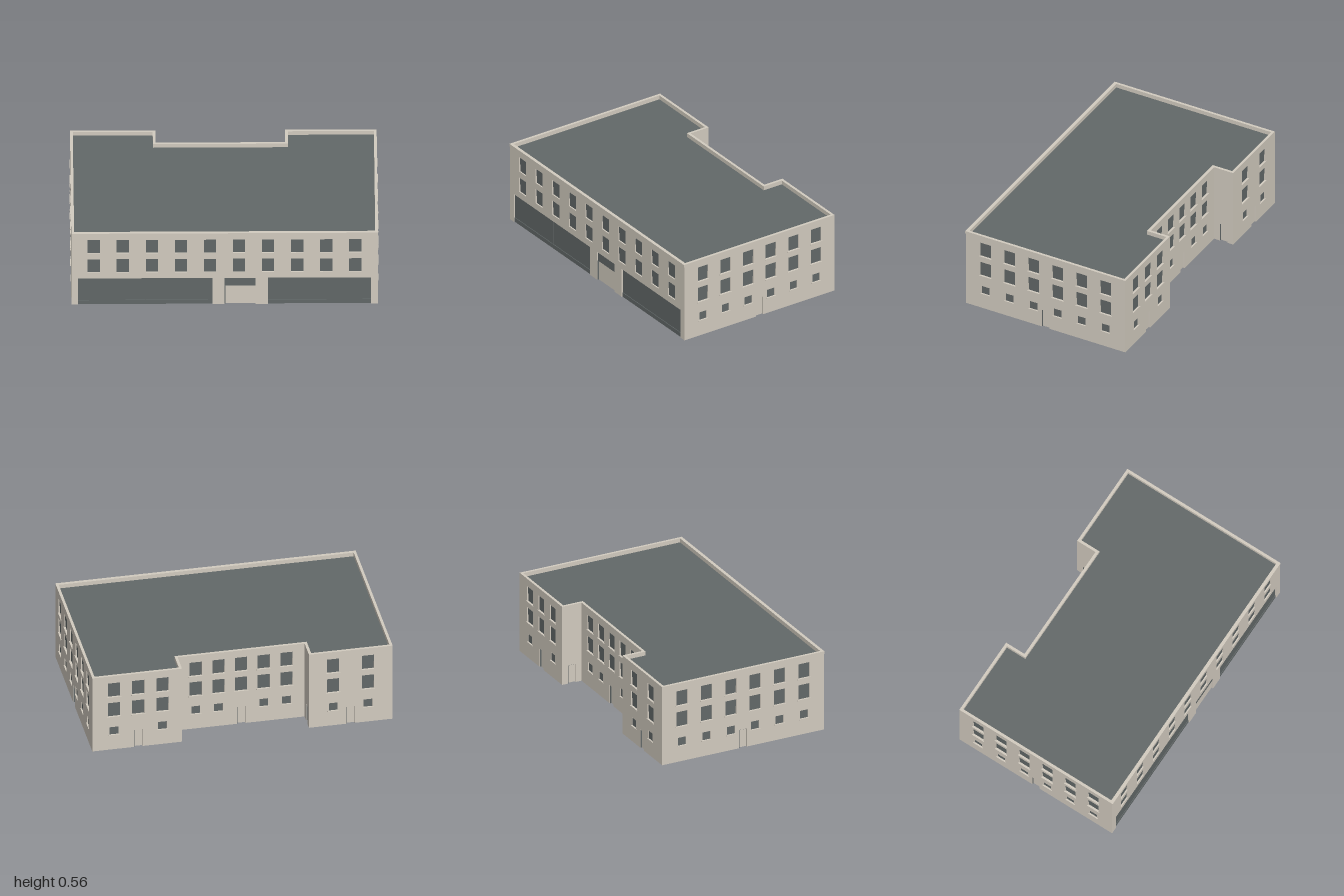
import * as THREE from 'three';

const stone = new THREE.MeshStandardMaterial({ color: 0xd2cbbf });
stone.name = 'stone';
const slate = new THREE.MeshStandardMaterial({ color: 0x626868 });
slate.name = 'slate';

const X = 0.994, Z = 0.592, H = 0.558;  // half width, half depth, height
const NL = 0.4, NR = -0.44, NZ = -0.45; // rear recess
const SKIN = 0.012, T = 0.018;          // outer layer, full wall thickness
const ROOF = 0.53;

function add(group, name, geometry, material, x = 0, y = 0, z = 0) {
  const mesh = new THREE.Mesh(geometry, material);
  mesh.name = name;
  mesh.position.set(x, y, z);
  group.add(mesh);
}

function box(group, name, material, u, y0, y1, w, z0, z1) {
  add(group, name, new THREE.BoxGeometry(w, y1 - y0, z1 - z0), material, u, (y0 + y1) / 2, (z0 + z1) / 2);
}

// wall outline, notched at the bottom for openings that reach the ground
function wallShape(u0, u1, notches, windows) {
  const s = new THREE.Shape();
  s.moveTo(u0, 0);
  for (const n of [...notches].sort((a, b) => a.u - b.u)) {
    s.lineTo(n.u - n.w / 2, 0);
    s.lineTo(n.u - n.w / 2, n.h);
    s.lineTo(n.u + n.w / 2, n.h);
    s.lineTo(n.u + n.w / 2, 0);
  }
  s.lineTo(u1, 0);
  s.lineTo(u1, H);
  s.lineTo(u0, H);
  for (const { u, w, y0, y1 } of windows) {
    const hole = new THREE.Path();
    hole.moveTo(u - w / 2, y0);
    hole.lineTo(u - w / 2, y1);
    hole.lineTo(u + w / 2, y1);
    hole.lineTo(u + w / 2, y0);
    hole.closePath();
    s.holes.push(hole);
  }
  return s;
}

const extrude = (shape, depth) => new THREE.ExtrudeGeometry(shape, { depth, bevelEnabled: false });

// one wall, running left to right as seen from outside, local +z outward
function makeWall({ name, from, to, doors = [], shops = [], windows = [], grow = [0, 0] }) {
  const g = new THREE.Group();
  g.name = name;
  const dx = to[0] - from[0], dz = to[1] - from[1];
  g.position.set(from[0], 0, from[1]);
  g.rotation.y = Math.atan2(-dz, dx);
  const u0 = -grow[0], u1 = Math.hypot(dx, dz) + grow[1];

  // recessed openings in the outer layer, closed by a plain inner layer
  add(g, 'outerWall', extrude(wallShape(u0, u1, [...doors, ...shops], windows), SKIN), stone, 0, 0, -SKIN);
  add(g, 'innerWall', extrude(wallShape(u0, u1, [], []), T - SKIN), stone, 0, 0, -T);

  // panes run slightly into the wall around them
  for (const { u, w, y0, y1, sash, sill } of windows) {
    const mid = (y0 + y1) / 2, lap = 0.002;
    box(g, 'upperPane', slate, u, mid, y1 + lap, w + 2 * lap, -SKIN, -0.006);
    box(g, 'lowerPane', slate, u, y0 - lap, mid, w + 2 * lap, -SKIN, sash ? -0.009 : -0.006);
    if (sill) box(g, 'windowSill', stone, u, y0 - 0.006, y0, w + 0.014, -0.004, 0.005);
  }

  // shop fronts with a low base panel and an optional mullion
  for (const { u, w, h, mullion } of shops) {
    box(g, 'shopWindow', slate, u, 0.03, h + 0.002, w + 0.004, -SKIN, -0.01);
    box(g, 'shopBase', slate, u, 0, 0.03, w + 0.004, -SKIN, -0.006);
    if (mullion) box(g, 'shopMullion', slate, u, 0.03, h, 0.006, -SKIN, -0.006);
  }

  // pale doorways with a dark header, and a dark leaf along the left jamb
  for (const { u, w, h, leaf } of doors) {
    box(g, 'doorLeaf', slate, u - w / 2 + 0.002, 0, leaf, 0.004, -T - w + 0.004, -0.004);
    box(g, 'doorHeader', slate, u, leaf, h + 0.002, w + 0.004, -SKIN, -0.006);
  }
  return g;
}

// two storeys of sash windows, and small ground-floor windows
const sashes = (centres, sill) => centres.flatMap(u => [[0.25, 0.355], [0.4, 0.505]].map(
  ([y0, y1]) => ({ u, w: 0.08, y0, y1, sash: true, sill })));
const smalls = centres => centres.map(u => ({ u, w: 0.058, y0: 0.112, y1: 0.17, sill: true }));
const sideDoor = u => ({ u, w: 0.056, h: 0.13, leaf: 0.126 });

export function createModel() {
  const building = new THREE.Group();
  building.name = 'building';

  const frontU = Array.from({ length: 10 }, (_, i) => X - 0.848 + i * 0.1882);
  const sideU = [-0.446, -0.268, -0.089, 0.089, 0.268, 0.446].map(v => v + Z);
  const wingL = [0.85, 0.69, 0.53].map(x => X - x);
  const wingR = [-0.6, -0.83].map(x => NR - x);
  const recess = [0.28, 0.13, -0.02, -0.17, -0.32].map(x => NL - x);
  const side = { windows: [...sashes(sideU, true), ...smalls(sideU)], doors: [sideDoor(Z)] };
  const half = (Z + NZ) / 2;

  const walls = [
    {
      name: 'frontWall', from: [-X, Z], to: [X, Z], windows: sashes(frontU, false),
      doors: [{ u: X + 0.1, w: 0.2, h: 0.205, leaf: 0.14 }],
      shops: [{ u: X - 0.515, w: 0.87, h: 0.205, mullion: true }, { u: X + 0.615, w: 0.67, h: 0.205 }],
    },
    { name: 'leftWall', from: [X, Z], to: [X, -Z], ...side },
    {
      name: 'leftWingRearWall', from: [X, -Z], to: [NL, -Z], doors: [sideDoor(wingL[1])],
      windows: [...sashes(wingL, true), ...smalls([wingL[0], wingL[2]])],
    },
    { name: 'leftRecessWall', from: [NL, -Z], to: [NL, NZ], doors: [sideDoor(half)], grow: [0, T] },
    {
      name: 'recessRearWall', from: [NL, NZ], to: [NR, NZ], doors: [sideDoor(recess[2])],
      windows: [...sashes(recess, true), ...smalls(recess.filter((_, i) => i !== 2))],
    },
    { name: 'rightRecessWall', from: [NR, NZ], to: [NR, -Z], doors: [sideDoor(half)], grow: [T, 0] },
    {
      name: 'rightWingRearWall', from: [NR, -Z], to: [-X, -Z], doors: [sideDoor(NR + 0.715)],
      windows: [...sashes(wingR, true), ...smalls(wingR)],
    },
    { name: 'rightWall', from: [-X, -Z], to: [-X, Z], ...side },
  ];
  walls.forEach(w => building.add(makeWall(w)));

  // thin coping along the top of the front
  box(building, 'frontCoping', stone, 0, 0.54, H, 2 * X, Z - 0.004, Z + 0.004);

  // roof and ceiling follow the wall plan
  const e = T / 2;
  const plan = [
    [-X + e, Z - e], [X - e, Z - e], [X - e, -Z + e], [NL + e, -Z + e],
    [NL + e, NZ + e], [NR - e, NZ + e], [NR - e, -Z + e], [-X + e, -Z + e],
  ];
  const slab = dir => new THREE.ShapeGeometry(new THREE.Shape(
    plan.map(([x, z]) => new THREE.Vector2(x, -dir * z)))).rotateX(-dir * Math.PI / 2);
  add(building, 'roof', slab(1), slate, 0, ROOF, 0);
  add(building, 'ceiling', slab(-1), stone, 0, ROOF - 0.005, 0);

  return building;
}
